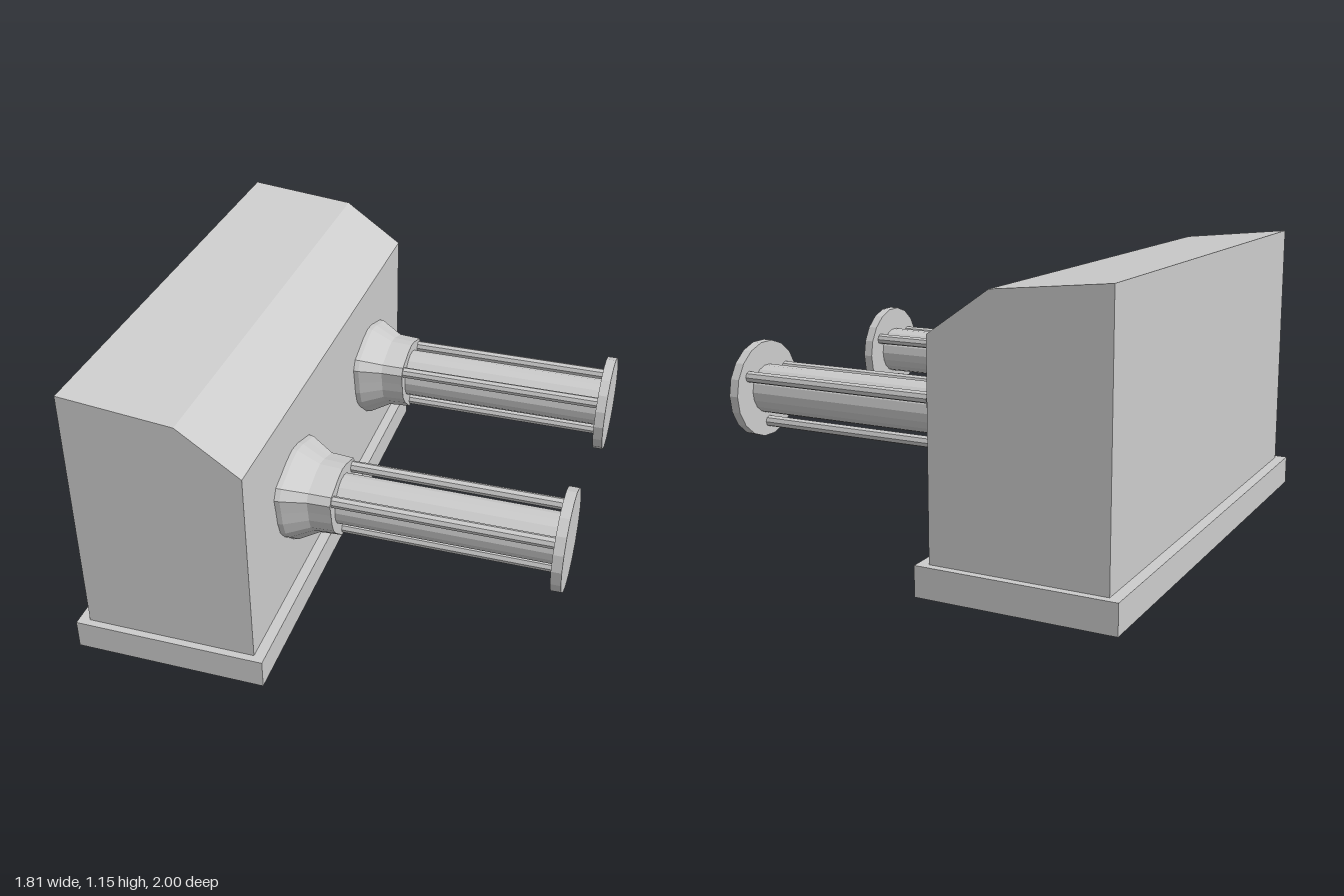
import * as THREE from 'three';

const material = new THREE.MeshStandardMaterial({ color: 0xcccccc, flatShading: true });

function add(parent, name, geometry, x = 0, y = 0, z = 0) {
  const mesh = new THREE.Mesh(geometry, material);
  mesh.name = name;
  mesh.position.set(x, y, z);
  parent.add(mesh);
  return mesh;
}

// Cylinder lying along x from x0 to x1
function rod(parent, name, radius, sides, x0, x1, y = 0, z = 0) {
  const geometry = new THREE.CylinderGeometry(radius, radius, x1 - x0, sides).rotateZ(-Math.PI / 2);
  return add(parent, name, geometry, (x0 + x1) / 2, y, z);
}

// Flared collar with three lobes, one over each rod
function collarGeometry() {
  const lobe = [[-60, 0.19], [-40, 0.19], [-22, 0.2], [-6, 0.232], [6, 0.232], [22, 0.2], [40, 0.19]];
  const rows = [[-0.19, 1], [-0.16, 0.98], [-0.07, 0.75], [0.02, 0.725]]; // x, scale
  const count = lobe.length * 3;
  const geometry = new THREE.CylinderGeometry(1, 1, 3, count, 3);
  const p = geometry.attributes.position;
  for (let i = 0; i < p.count; i++) {
    const [x, scale] = rows[Math.round(p.getY(i) + 1.5)];
    const turn = Math.atan2(p.getX(i), p.getZ(i)) / (2 * Math.PI);
    const j = (Math.round(turn * count) + count) % count;
    const [offset, radius] = lobe[j % lobe.length];
    const angle = THREE.MathUtils.degToRad(90 + 120 * Math.floor(j / lobe.length) + offset);
    const r = Math.hypot(p.getX(i), p.getZ(i)) < 0.5 ? 0 : radius * scale;
    p.setXYZ(i, Math.sin(angle) * r, x, Math.cos(angle) * r);
  }
  geometry.rotateZ(-Math.PI / 2);
  geometry.computeVertexNormals();
  return geometry;
}

function createBarrel(name, z) {
  const barrel = new THREE.Group();
  barrel.name = name;
  barrel.position.set(0, 0.554, z);
  add(barrel, 'collar', collarGeometry());
  rod(barrel, 'tube', 0.1, 18, -0.1, 0.87);
  rod(barrel, 'endDisc', 0.198, 18, 0.865, 0.905);
  // Three guide rods around the tube
  for (let k = 0; k < 3; k++) {
    const a = -Math.PI / 2 + (k * 2 * Math.PI) / 3;
    rod(barrel, 'guideRod', 0.023, 8, -0.1, 0.87, 0.138 * Math.sin(a), 0.138 * Math.cos(a));
  }
  return barrel;
}

export function createModel() {
  const model = new THREE.Group();
  model.name = 'wallMountedBarrels';

  // Plinth
  add(model, 'base', new THREE.BoxGeometry(0.772, 0.118, 2), -0.523, 0.059, 0);

  // Housing with a sloped roof and chamfered front edge
  const profile = new THREE.Shape([
    [-0.865, 0.1], [-0.18, 0.1], [-0.18, 0.937], [-0.42, 1.106], [-0.865, 1.152],
  ].map(([x, y]) => new THREE.Vector2(x, y)));
  const housing = new THREE.ExtrudeGeometry(profile, { depth: 1.94, bevelEnabled: false });
  add(model, 'housing', housing, 0, 0, -0.97);

  model.add(createBarrel('frontBarrel', 0.482), createBarrel('backBarrel', -0.49));
  return model;
}
